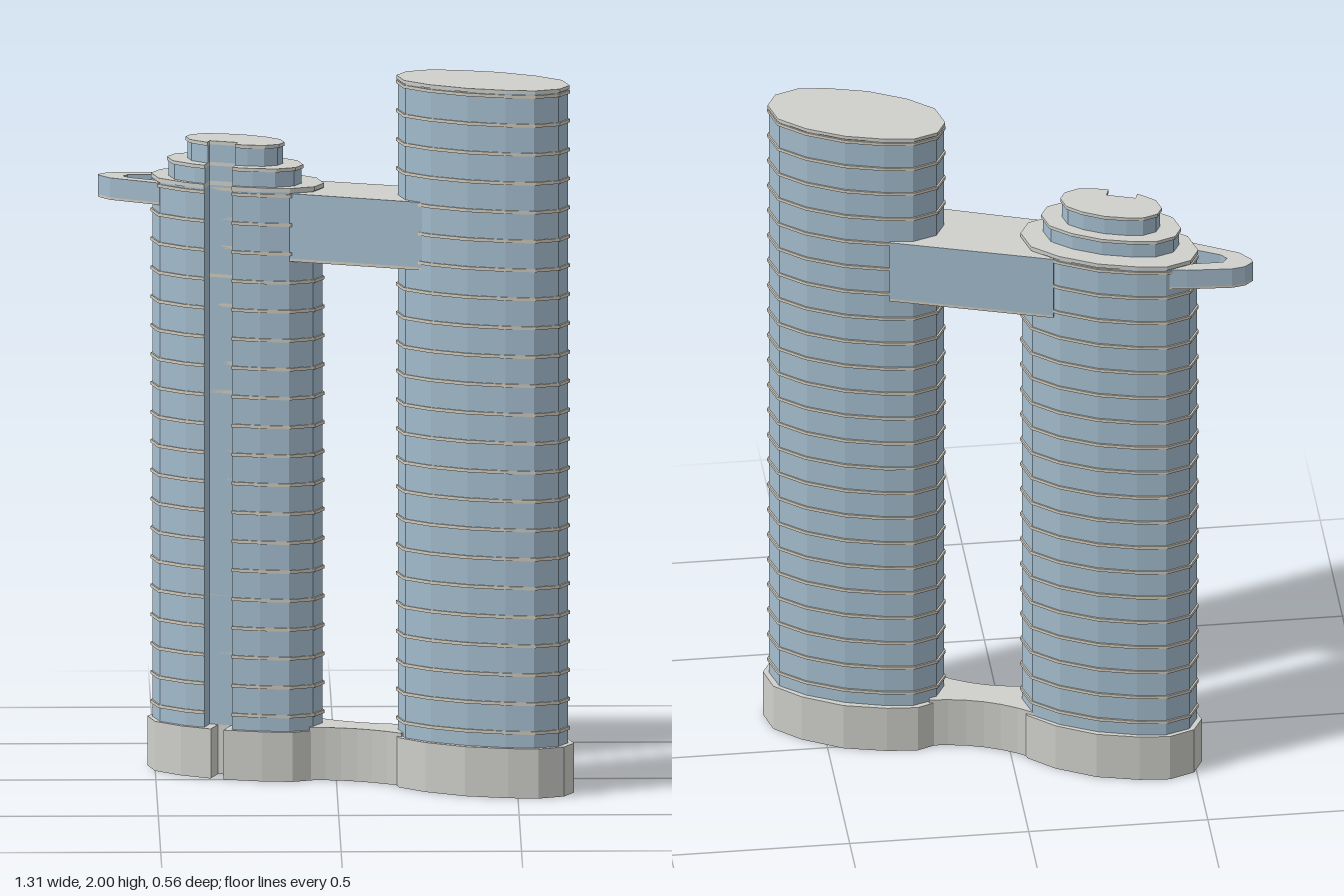
import * as THREE from 'three';

const mat = (name, color, side = THREE.FrontSide) => {
  const m = new THREE.MeshStandardMaterial({ color, side });
  m.name = name;
  return m;
};

// Half of the tower plan as [x, z] about its centre; the other half is its 180 degree turn
const HALF = [[-0.235, -0.073], [-0.208, -0.123], [-0.14, -0.147], [-0.06, -0.137],
  [0.045, -0.108], [0.145, -0.058], [0.215, 0]];
const PLAN = [...HALF, ...HALF.map(([x, z]) => [-x, -z])];
const RIGHT = [0.405, 0.115], LEFT = [-0.272, -0.122];
const C = Math.cos(0.32), S = Math.sin(0.32); // direction of the long axis

// Tower plan, scaled and then widened by a small margin
const plan = (scale = 1, grow = 0, dx = 0, dz = 0) => PLAN.map(([x, z]) => {
  const k = scale + grow / Math.hypot(x, z);
  return [x * k + dx, z * k + dz];
});
const place = (pts, [cx, cz]) => pts.map(([x, z]) => [x + cx, z + cz]);

// Cut a slot, between u0 and u1 along the long axis, into the front of a plan
function notch(pts, u0, u1, floor = 0.06) {
  const uv = pts.map(([x, z]) => [x * C + z * S, z * C - x * S]);
  const out = [];
  uv.forEach((p, i) => {
    const q = uv[(i + 1) % uv.length];
    const at = (u) => [u, p[1] + (q[1] - p[1]) * (u - p[0]) / (q[0] - p[0])];
    const front = p[1] > 0 && q[1] > 0;
    if (!(p[1] > 0 && p[0] > u0 && p[0] < u1)) out.push(p);
    if (front && p[0] > u1 && q[0] <= u1) out.push(at(u1), [u1, floor], [u0, floor]);
    if (front && p[0] > u0 && q[0] <= u0) out.push(at(u0));
  });
  return out.map(([u, v]) => [u * C - v * S, u * S + v * C]);
}

export function createModel() {
  const model = new THREE.Group();
  model.name = 'twinTowers';
  const glass = mat('blueGlass', 0xa6bfd0);
  const stone = mat('paleStone', 0xd0d0cc);
  const trim = mat('warmTrim', 0xd3ccbe);

  // Upright prism from a plan, with an optional hole
  const slab = (parent, name, pts, y0, y1, material, hole) => {
    const vec = (list) => list.map(([x, z]) => new THREE.Vector2(x, -z));
    const shape = new THREE.Shape(vec(pts));
    if (hole) shape.holes.push(new THREE.Path(vec(hole)));
    const geo = new THREE.ExtrudeGeometry(shape, { depth: y1 - y0, bevelEnabled: false });
    geo.rotateX(-Math.PI / 2);
    const mesh = new THREE.Mesh(geo, material);
    mesh.name = name;
    mesh.position.y = y0;
    parent.add(mesh);
  };
  const group = (name) => {
    const g = new THREE.Group();
    g.name = name;
    model.add(g);
    return g;
  };
  const floorY = (i) => 0.178 + i * 0.0818;

  // Tall tower: hollow glass shaft, open below, with floor bands
  const tall = group('tallTower');
  const inner = place(plan(0.97), RIGHT);
  slab(tall, 'tallShaft', place(plan(), RIGHT), 0.002, 1.99, glass, inner);
  slab(tall, 'tallRoof', place(plan(1, 0.004), RIGHT), 1.99, 2, stone);
  slab(tall, 'tallBase', place(plan(1, 0.017), RIGHT), 0, 0.14, stone, place(plan(0.99), RIGHT));
  for (let i = 0; i < 23; i++)
    slab(tall, 'tallFloorBand', place(plan(1, 0.005), RIGHT), floorY(i), floorY(i) + 0.009, trim, inner);

  // Short tower: slotted shaft with stepped tiers on top
  const short = group('shortTower');
  const slotted = (scale, grow, dx, dz) => place(notch(plan(scale, grow, dx, dz), -0.062, 0.02), LEFT);
  slab(short, 'shortBase', place(notch(plan(1, 0.014), -0.038, 0), LEFT), 0, 0.14, stone);
  slab(short, 'shortShaft', slotted(1, 0), 0.14, 1.665, [stone, glass]);
  slab(short, 'shortRoof', slotted(1, 0.004), 1.665, 1.677, stone);
  for (let i = 0; i < 19; i++)
    slab(short, 'shortFloorBand', slotted(1, 0.005), floorY(i), floorY(i) + 0.009, trim);
  [[0.78, 1.677, 1.73], [0.56, 1.73, 1.79]].forEach(([s, y0, y1]) => {
    slab(short, 'tierWall', slotted(s, 0, -0.007, 0.019), y0, y1 - 0.01, [stone, glass]);
    slab(short, 'tierRoof', slotted(s, 0.005, -0.007, 0.019), y1 - 0.01, y1, stone);
  });

  // Sky bridge between the towers
  const bridge = group('skyBridge');
  const span = [[-0.155, 0.015], [0.265, 0.163], [0.33, -0.03], [-0.11, -0.172]];
  slab(bridge, 'bridgeBody', span, 1.478, 1.662, [stone, glass]);
  slab(bridge, 'bridgeSoffit', span, 1.47, 1.478, trim);

  // Open loop projecting from the far side of the short tower
  const loop = [[-0.40, -0.262], [-0.47, -0.273], [-0.595, -0.281], [-0.632, -0.274], [-0.657, -0.252],
    [-0.655, -0.238], [-0.625, -0.2], [-0.58, -0.175], [-0.475, -0.118], [-0.43, -0.13],
    [-0.49, -0.163], [-0.572, -0.205], [-0.588, -0.225], [-0.575, -0.243], [-0.46, -0.241], [-0.40, -0.235]];
  const ring = group('terraceLoop');
  slab(ring, 'loopBody', loop, 1.607, 1.662, [stone, glass]);
  slab(ring, 'loopSoffit', loop, 1.6, 1.607, trim);

  // Waisted lobby joining the two bases
  const back = new THREE.QuadraticBezierCurve(new THREE.Vector2(-0.06, -0.125),
    new THREE.Vector2(0.06, -0.03), new THREE.Vector2(0.22, -0.025));
  const front = new THREE.QuadraticBezierCurve(new THREE.Vector2(0.18, 0.1),
    new THREE.Vector2(0.06, 0.015), new THREE.Vector2(-0.075, 0.015));
  const lobby = [...back.getPoints(6), ...front.getPoints(6)].map((p) => [p.x, p.y]);
  slab(model, 'lobbyLink', lobby, 0.001, 0.15, stone);

  return model;
}
